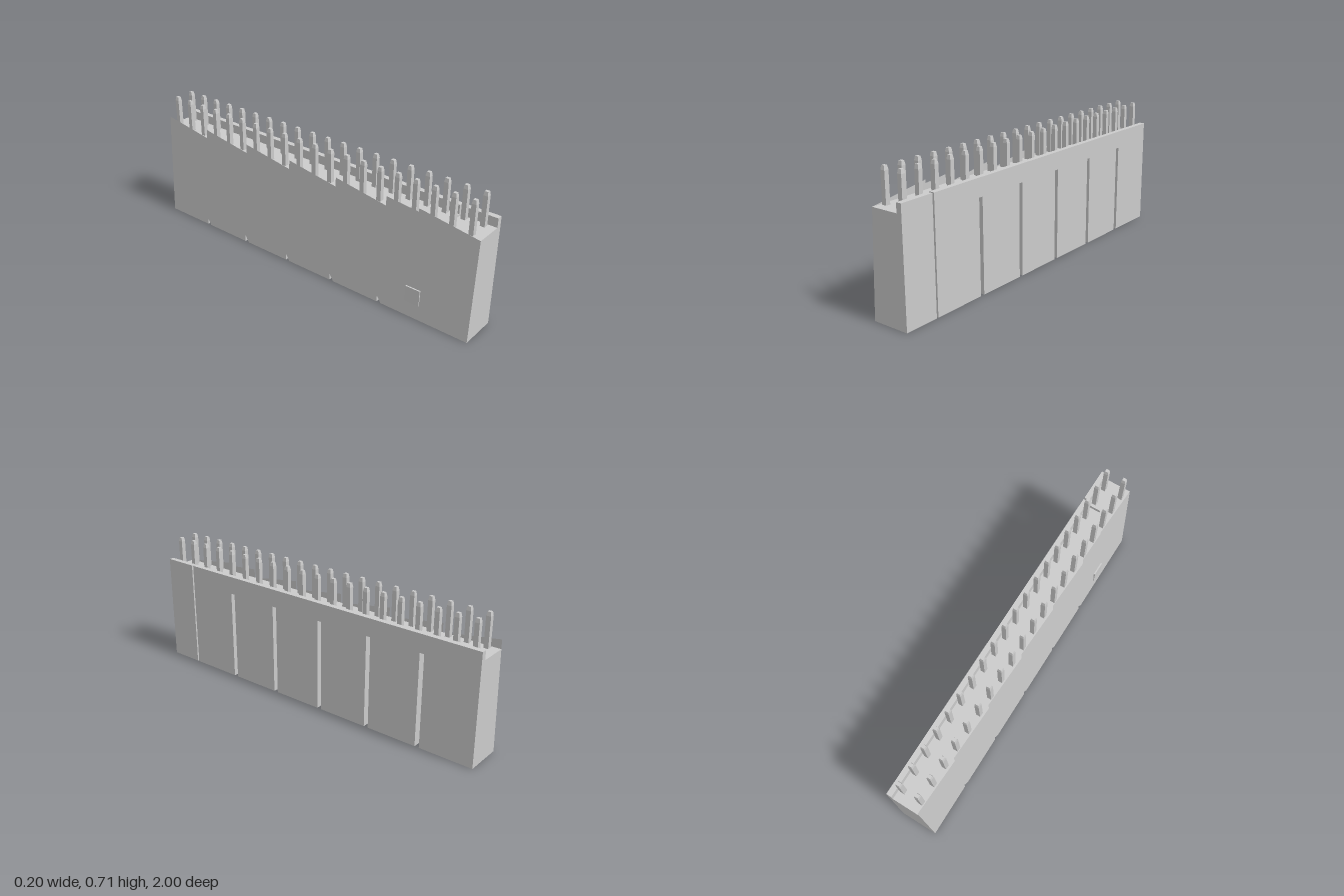
import * as THREE from 'three';
import { mergeGeometries } from 'three/addons/utils/BufferGeometryUtils.js';

const SLOT_TOP = 0.49, DECK = 0.537, RIM = 0.585;
const ROWS = 20, PITCH = 0.0992, COLS = [-0.05, 0.05];
const rowZ = (i) => (i - (ROWS - 1) / 2) * PITCH;
const slots = [-0.7, -0.4, -0.1, 0.2, 0.5];
const SLOT_HALF = 0.012;
const groove = { z: 0.81, half: 0.005, x: 0 };

// x of the leaning left-hand face at height y
const leanX = (y) => -0.1 + 0.027 * (y / RIM);
const shapeOf = (pts) => new THREE.Shape(pts.map(([a, b]) => new THREE.Vector2(a, b)));

// Lower housing block between two slots, with tapered square sockets open below
function blockGeometry(z0, z1) {
  const pts = [[-0.1, -z1], [0.1, -z1]];
  if (groove.z > z0 && groove.z < z1) {
    const a = -(groove.z + groove.half), b = -(groove.z - groove.half);
    pts.push([0.1, a], [groove.x, a], [groove.x, b], [0.1, b]);
  }
  pts.push([0.1, -z0], [-0.1, -z0]);
  const shape = shapeOf(pts);
  const h = 0.029;
  const rows = [];
  for (let i = 0; i < ROWS; i++) {
    const z = rowZ(i);
    if (z < z0 || z > z1) continue;
    rows.push(z);
    for (const x of COLS) {
      shape.holes.push(new THREE.Path([[-h, -h], [-h, h], [h, h], [h, -h]]
        .map(([a, b]) => new THREE.Vector2(x + a, -z + b))));
    }
  }
  const g = new THREE.ExtrudeGeometry(shape, { depth: SLOT_TOP, steps: 7, bevelEnabled: false });
  g.rotateX(-Math.PI / 2);
  const p = g.attributes.position;
  for (let i = 0; i < p.count; i++) {
    const x = p.getX(i), y = p.getY(i), z = p.getZ(i);
    if (x < -0.0999) {
      p.setX(i, leanX(y));
      continue;
    }
    // narrow the sockets above the mouth
    if (y < 0.01) continue;
    const cx = x < 0 ? -0.05 : 0.05;
    const cz = rows.find((r) => Math.abs(Math.abs(z - r) - h) < 1e-4);
    if (cz !== undefined && Math.abs(Math.abs(x - cx) - h) < 1e-4) {
      p.setX(i, cx + (x - cx) * 0.5);
      p.setZ(i, cz + (z - cz) * 0.5);
    }
  }
  g.computeVertexNormals();
  return g;
}

// Profile in x,y swept along z
function sweep(pts, z0, z1) {
  const g = new THREE.ExtrudeGeometry(shapeOf(pts), { depth: z1 - z0, bevelEnabled: false });
  return g.translate(0, 0, z0);
}

// Thin sheet lying on the leaning face, outlined by [z, y] points
function sheet(pts) {
  const g = new THREE.ShapeGeometry(shapeOf(pts));
  const p = g.attributes.position;
  for (let i = 0; i < p.count; i++) {
    const z = p.getX(i), y = p.getY(i);
    p.setXYZ(i, leanX(y), y, z);
  }
  g.computeVertexNormals();
  return g;
}

// Square pin with a tapered tip
function pinGeometry() {
  const bar = (top, bottom, y0, y1) => new THREE.CylinderGeometry(
    top * Math.SQRT1_2, bottom * Math.SQRT1_2, y1 - y0, 4)
    .rotateY(Math.PI / 4).translate(0, (y0 + y1) / 2, 0).toNonIndexed();
  const g = mergeGeometries([bar(0.024, 0.024, 0.52, 0.692), bar(0.017, 0.024, 0.692, 0.712)]);
  g.computeVertexNormals();
  return g;
}

export function createModel() {
  const model = new THREE.Group();
  const grey = new THREE.MeshStandardMaterial({ color: 0xcccccc, flatShading: true });
  const thin = new THREE.MeshStandardMaterial({ color: 0xcccccc, flatShading: true, side: THREE.DoubleSide });
  const add = (name, geometry, material = grey) => {
    const mesh = new THREE.Mesh(geometry, material);
    mesh.name = name;
    model.add(mesh);
    return mesh;
  };

  // Housing blocks separated by deep vertical slots
  const ends = [-1, ...slots.flatMap((z) => [z - SLOT_HALF, z + SLOT_HALF]), 1];
  for (let i = 0; i < ends.length; i += 2) add('housingBlock', blockGeometry(ends[i], ends[i + 1]));

  // Deck with the raised rim on one side, interrupted by the narrow groove
  const deck = [[leanX(SLOT_TOP), SLOT_TOP], [0.1, SLOT_TOP], [0.1, RIM], [0.072, RIM],
    [0.072, DECK], [leanX(DECK), DECK]];
  const deckHalf = [[leanX(SLOT_TOP), SLOT_TOP], [groove.x, SLOT_TOP], [groove.x, DECK], [leanX(DECK), DECK]];
  const g0 = groove.z - groove.half, g1 = groove.z + groove.half;
  add('deck', sweep(deck, -1, g0));
  add('deckAtGroove', sweep(deckHalf, g0, g1));
  add('deckEnd', sweep(deck, g1, 1));

  // Skin closing each slot on the leaning side, with a notch at the foot
  for (const z of slots) {
    const a = z - SLOT_HALF, b = z + SLOT_HALF;
    add('slotSkin', sheet([[b, 0], [b, SLOT_TOP], [a, SLOT_TOP], [a, 0.035]]), thin);
  }

  // Thin sawtooth edge above the leaning face
  const teeth = [-1, ...slots, 1];
  for (let i = 0; i < teeth.length - 1; i++) {
    add('edgeTooth', sheet([[teeth[i], DECK], [teeth[i + 1], DECK], [teeth[i], RIM]]), thin);
  }
  add('endTooth', sheet([[0.68, DECK], [1, DECK], [0.68, RIM]]), thin);

  // Small raised tab low on the leaning face
  add('sideTab', new THREE.BoxGeometry(0.01, 0.085, 0.08)).position.set(-0.095, 0.1225, 0.69);

  // Two rows of pins
  const pins = new THREE.Group();
  pins.name = 'pins';
  const pin = pinGeometry();
  for (let i = 0; i < ROWS; i++) {
    for (const x of COLS) {
      const mesh = new THREE.Mesh(pin, grey);
      mesh.name = 'pin';
      mesh.position.set(x, 0, rowZ(i));
      pins.add(mesh);
    }
  }
  model.add(pins);
  return model;
}
